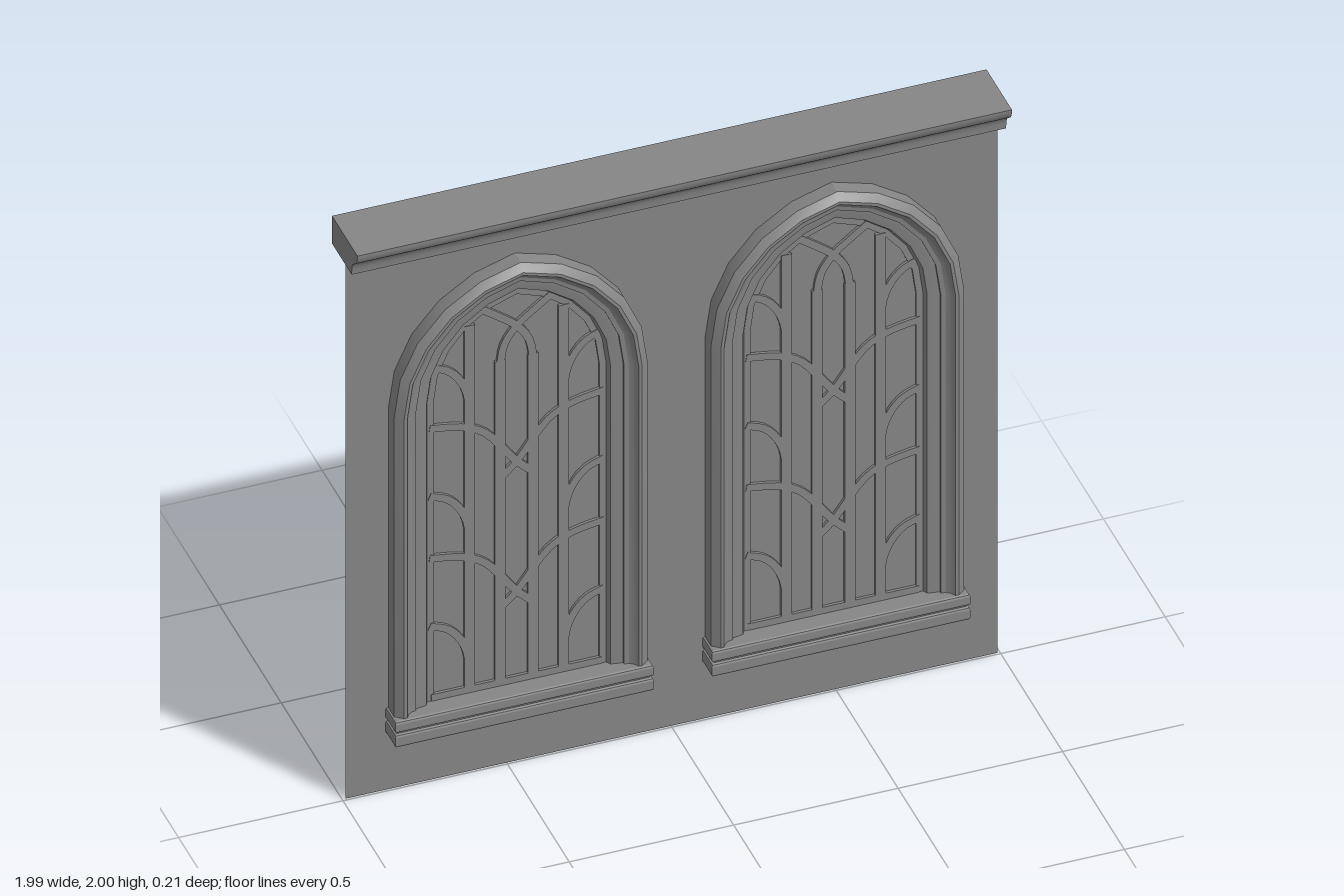
import * as THREE from 'three';
import { toCreasedNormals } from 'three/addons/utils/BufferGeometryUtils.js';

const GREY = 0x868686;
const material = new THREE.MeshStandardMaterial({ color: GREY });
const sheetMaterial = new THREE.MeshStandardMaterial({ color: GREY, side: THREE.DoubleSide });
const SPRING = 1.35, BOTTOM = 0.27, OFFSET = 0.07;
const WALL_Z = -0.007, GLASS_Z = 0.001;
const WINDOW_X = [-0.475, 0.488];
const OPENING = 0.29;

function part(name, geometry, mat = material) {
  const mesh = new THREE.Mesh(geometry, mat);
  mesh.name = name;
  return mesh;
}

// Pointed arch outline of half-width a, from the right foot over the apex to the left foot
function archPath(a, segments = 5) {
  const r = a + OFFSET, end = Math.acos(OFFSET / r);
  const right = [[a, BOTTOM]];
  for (let i = 0; i <= segments; i++) {
    const t = (end * i) / segments;
    right.push([r * Math.cos(t) - OFFSET, SPRING + r * Math.sin(t)]);
  }
  const left = right.slice(0, -1).reverse().map(([x, y]) => [-x, y]);
  return right.concat(left);
}

const archPoints = (a, x = 0) => archPath(a).map(([px, py]) => new THREE.Vector2(px + x, py));

// Sweep a closed (half-width, z) profile around the arch
function archMoulding(profile) {
  const rails = profile.map(([a]) => archPath(a));
  const count = rails[0].length, n = profile.length;
  const positions = [], index = [];
  for (let i = 0; i < count; i++)
    for (let j = 0; j < n; j++) positions.push(...rails[j][i], profile[j][1]);
  for (let i = 0; i < count - 1; i++)
    for (let j = 0; j < n; j++) {
      const k = (j + 1) % n;
      const a = i * n + j, b = (i + 1) * n + j, c = (i + 1) * n + k, d = i * n + k;
      index.push(a, b, c, a, c, d);
    }
  const geometry = new THREE.BufferGeometry();
  geometry.setAttribute('position', new THREE.Float32BufferAttribute(positions, 3));
  geometry.setIndex(index);
  return toCreasedNormals(geometry, 0.4);
}

// Flat bar of constant width following a curve through the given points
function barGeometry(points, width, z0 = -0.015, z1 = 0.01) {
  const curve = new THREE.CatmullRomCurve3(points.map(([x, y]) => new THREE.Vector3(x, y, 0)));
  const steps = points.length > 2 ? 12 : 1;
  const sideA = [], sideB = [];
  for (let i = 0; i <= steps; i++) {
    const p = curve.getPoint(i / steps), t = curve.getTangent(i / steps);
    const nx = (-t.y * width) / 2, ny = (t.x * width) / 2;
    sideA.push(new THREE.Vector2(p.x + nx, p.y + ny));
    sideB.unshift(new THREE.Vector2(p.x - nx, p.y - ny));
  }
  const geometry = new THREE.ExtrudeGeometry(new THREE.Shape(sideA.concat(sideB)), {
    depth: z1 - z0, bevelEnabled: false,
  });
  return geometry.translate(0, 0, z0);
}

// Horizontal slab with softened edges on every side
function slabGeometry(halfWidth, zBack, zFront, y0, y1) {
  const b = 0.008;
  const shape = new THREE.Shape([
    new THREE.Vector2(-halfWidth + b, -zFront + b), new THREE.Vector2(halfWidth - b, -zFront + b),
    new THREE.Vector2(halfWidth - b, -zBack - b), new THREE.Vector2(-halfWidth + b, -zBack - b),
  ]);
  const geometry = new THREE.ExtrudeGeometry(shape, {
    depth: y1 - y0 - 2 * b, bevelEnabled: true, bevelThickness: b, bevelSize: b, bevelSegments: 2,
  });
  return geometry.rotateX(-Math.PI / 2).translate(0, y0 + b, 0);
}

function createTracery() {
  const tracery = new THREE.Group();
  tracery.name = 'tracery';
  tracery.add(part('bottomRail', barGeometry([[-0.26, 0.295], [0.26, 0.295]], 0.036)));

  for (const s of [-1, 1]) {
    const add = (name, pts, width) =>
      tracery.add(part(name, barGeometry(pts.map(([x, y]) => [s * x, y]), width)));

    // Upright mullions
    add('outerMullion', [[0.143, 0.29], [0.143, 1.59]], 0.032);
    add('innerMullion', [[0.05, 0.29], [0.05, 1.44]], 0.032);

    // Branches crossing on the centre line, one per tier
    for (const y of [0, 0.46]) {
      add('crossingBranch', [
        [-0.055, 0.56 + y], [0, 0.612 + y], [0.05, 0.682 + y], [0.095, 0.737 + y],
        [0.143, 0.768 + y], [0.2, 0.785 + y], [0.265, 0.795 + y],
      ], 0.024);
    }
    add('topBranch', [[-0.051, 1.42], [-0.038, 1.495], [0, 1.553], [0.05, 1.595], [0.11, 1.64]], 0.024);

    // Quarter arches in the side lights
    for (const y of [0, 0.46, 0.915]) {
      add('sideArch', [
        [0.143, 0.36 + y], [0.152, 0.44 + y], [0.18, 0.5 + y], [0.215, 0.535 + y], [0.265, 0.555 + y],
      ], 0.024);
    }
  }
  return tracery;
}

function createWindow() {
  const win = new THREE.Group();
  win.name = 'archedWindow';
  // Outer bevel, cove, inner roll and reveal
  win.add(part('archMoulding', archMoulding([
    [0.385, -0.006], [0.385, 0.042], [0.362, 0.061], [0.352, 0.061], [0.342, 0.046],
    [0.33, 0.038], [0.316, 0.036], [0.316, 0.028], [0.298, 0.026], [0.28, 0.022],
    [0.272, 0.008], [0.252, 0.008], [0.252, -0.019], [0.315, -0.019], [0.315, -0.006],
  ])));
  win.add(createTracery());

  const glass = new THREE.ShapeGeometry(new THREE.Shape(archPoints(OPENING)));
  win.add(part('glass', glass.translate(0, 0, GLASS_Z), sheetMaterial));

  // Two rounded courses joined by a narrow neck
  win.add(part('lowerSill', slabGeometry(0.393, -0.045, 0.072, 0.2, 0.244)));
  win.add(part('upperSill', slabGeometry(0.393, -0.045, 0.072, 0.251, 0.29)));
  const neck = new THREE.BoxGeometry(0.766, 0.03, 0.097);
  win.add(part('sillNeck', neck.translate(0, 0.2475, 0.0135)));
  return win;
}

export function createModel() {
  const model = new THREE.Group();
  model.name = 'windowWall';

  // Thin wall with an arched opening behind each moulding
  const wall = new THREE.Shape([
    new THREE.Vector2(-0.989, 0), new THREE.Vector2(0.993, 0),
    new THREE.Vector2(0.993, 1.94), new THREE.Vector2(-0.989, 1.94),
  ]);
  for (const x of WINDOW_X) wall.holes.push(new THREE.Path(archPoints(OPENING, x)));
  model.add(part('wall', new THREE.ShapeGeometry(wall).translate(0, 0, WALL_Z), sheetMaterial));

  for (const x of WINDOW_X) {
    const win = createWindow();
    win.position.x = x;
    model.add(win);
  }

  // Cornice: (z, y) profile run along the wall
  const profile = [
    [-0.102, 1.902], [-0.102, 2], [0.104, 2], [0.104, 1.99], [0.1, 1.977], [0.093, 1.966],
    [0.081, 1.956], [0.068, 1.946], [0.061, 1.934], [0.058, 1.92], [0.057, 1.902],
  ];
  const shape = new THREE.Shape(profile.map(([z, y]) => new THREE.Vector2(-z, y)));
  const cornice = new THREE.ExtrudeGeometry(shape, { depth: 1.99, bevelEnabled: false });
  cornice.rotateY(Math.PI / 2).translate(-0.995, 0, 0);
  model.add(part('cornice', toCreasedNormals(cornice, 0.6)));

  return model;
}
